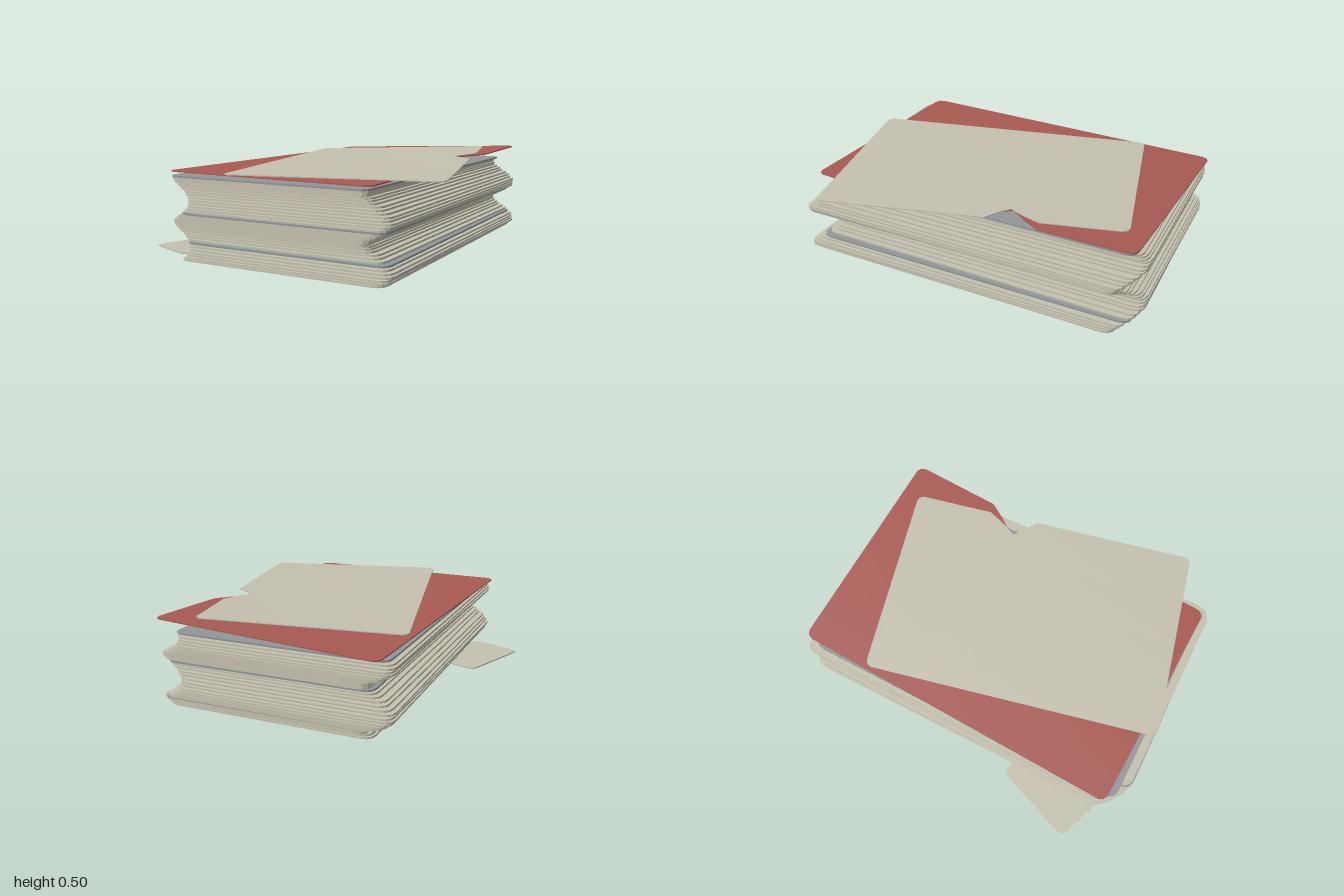
import * as THREE from 'three';

const paper = new THREE.MeshStandardMaterial({ color: 0xc4c1b0 });
paper.name = 'paper beige';
const cover = new THREE.MeshStandardMaterial({ color: 0xa85a53 });
cover.name = 'cover red';
const divider = new THREE.MeshStandardMaterial({ color: 0x93969a });
divider.name = 'divider grey';

// flat sheet with rounded corners, lying in the xz plane from y = 0 up
function flatSheet(w, d, r, thick) {
  const x = w / 2, y = d / 2;
  const s = new THREE.Shape();
  s.moveTo(-x + r, -y);
  s.lineTo(x - r, -y);
  s.quadraticCurveTo(x, -y, x, -y + r);
  s.lineTo(x, y - r);
  s.quadraticCurveTo(x, y, x - r, y);
  s.lineTo(-x + r, y);
  s.quadraticCurveTo(-x, y, -x, y - r);
  s.lineTo(-x, -y + r);
  s.quadraticCurveTo(-x, -y, -x + r, -y);
  const g = new THREE.ExtrudeGeometry(s, { depth: thick, bevelEnabled: false, curveSegments: 3 });
  return g.rotateX(-Math.PI / 2);
}

// curled sheet between four corners (back left, back right, front right, front left),
// built from rows [t, left, right]; a shorter right end makes the dent in the edge
function curledSheet(corners, thick) {
  const [a, b, c, d] = corners.map((p) => new THREE.Vector3(...p));
  const rows = [
    [0, 0.03, 0.97], [0.006, 0.01, 0.99], [0.02, 0, 1], [0.14, 0, 1], [0.27, 0, 1],
    [0.32, 0, 0.955], [0.37, 0, 0.9], [0.40, 0, 0.935], [0.44, 0, 1], [0.6, 0, 1],
    [0.8, 0, 1], [0.98, 0, 1], [0.994, 0.01, 0.99], [1, 0.03, 0.97],
  ];
  const n = 9, loop = n * 2, pos = [], idx = [];
  for (const [t, s0, s1] of rows) {
    const left = a.clone().lerp(d, t), right = b.clone().lerp(c, t);
    for (let k = 0; k < loop; k++) {
      const top = k < n;
      const u = (top ? k : loop - 1 - k) / (n - 1);
      const p = left.clone().lerp(right, s0 + (s1 - s0) * u);
      pos.push(p.x, p.y + (top ? thick : 0), p.z);
    }
  }
  for (let i = 0; i < rows.length - 1; i++) {
    for (let k = 0; k < loop; k++) {
      const p = i * loop + k, q = i * loop + ((k + 1) % loop);
      idx.push(p, p + loop, q, q, p + loop, q + loop);
    }
  }
  // back and front edges
  const last = (rows.length - 1) * loop;
  for (let k = 0; k < n - 1; k++) {
    const k2 = k + 1, bk = loop - 1 - k, bk2 = bk - 1;
    idx.push(k, k2, bk2, k, bk2, bk);
    idx.push(last + k, last + bk2, last + k2, last + k, last + bk, last + bk2);
  }
  const g = new THREE.BufferGeometry();
  g.setAttribute('position', new THREE.Float32BufferAttribute(pos, 3));
  g.setIndex(idx);
  const flat = g.toNonIndexed();
  flat.computeVertexNormals();
  return flat;
}

export function createModel() {
  const model = new THREE.Group();
  model.name = 'paperStack';
  const add = (name, geo, mat, parent = model) => {
    const m = new THREE.Mesh(geo, mat);
    m.name = name;
    parent.add(m);
    return m;
  };

  // main stack: each sheet slides around a small circle as the pile grows
  const stack = new THREE.Group();
  stack.name = 'stack';
  model.add(stack);
  const count = 36, step = 0.0119, turn = (Math.PI * 2) / 0.235;
  const sheetGeo = flatSheet(1.165, 1.865, 0.06, 0.0098);
  const greyAt = [6, 20, 35];
  for (let i = 0; i < count; i++) {
    const y = i * step;
    const grey = greyAt.includes(i);
    const m = add(grey ? 'dividerSheet' : 'sheet', sheetGeo, grey ? divider : paper, stack);
    m.position.set(
      0.03 + 0.08 * Math.cos(turn * (y - 0.03)), y,
      0.007 + 0.06 * Math.cos(turn * (y - 0.005)));
    m.rotation.y = -0.006 + 0.006 * Math.sin(i * 2.3);
  }

  // small card sticking out at the bottom
  const card = add('looseCard', flatSheet(0.32, 0.5, 0.045, 0.007), paper);
  card.position.set(-0.62, 0.0005, 0.60);
  card.rotation.y = -0.366;

  // red cover with its back corner curled up
  add('redCover', curledSheet([
    [-0.57, 0.439, -1.0], [0.665, 0.493, -0.945], [0.58, 0.439, 0.955], [-0.65, 0.439, 0.89],
  ], 0.006), cover);

  // turned sheet resting on the cover
  add('topSheet', curledSheet([
    [-0.575, 0.455, -0.605], [0.485, 0.491, -0.855], [0.855, 0.455, 0.755], [-0.21, 0.455, 1.0],
  ], 0.005), paper);

  return model;
}
